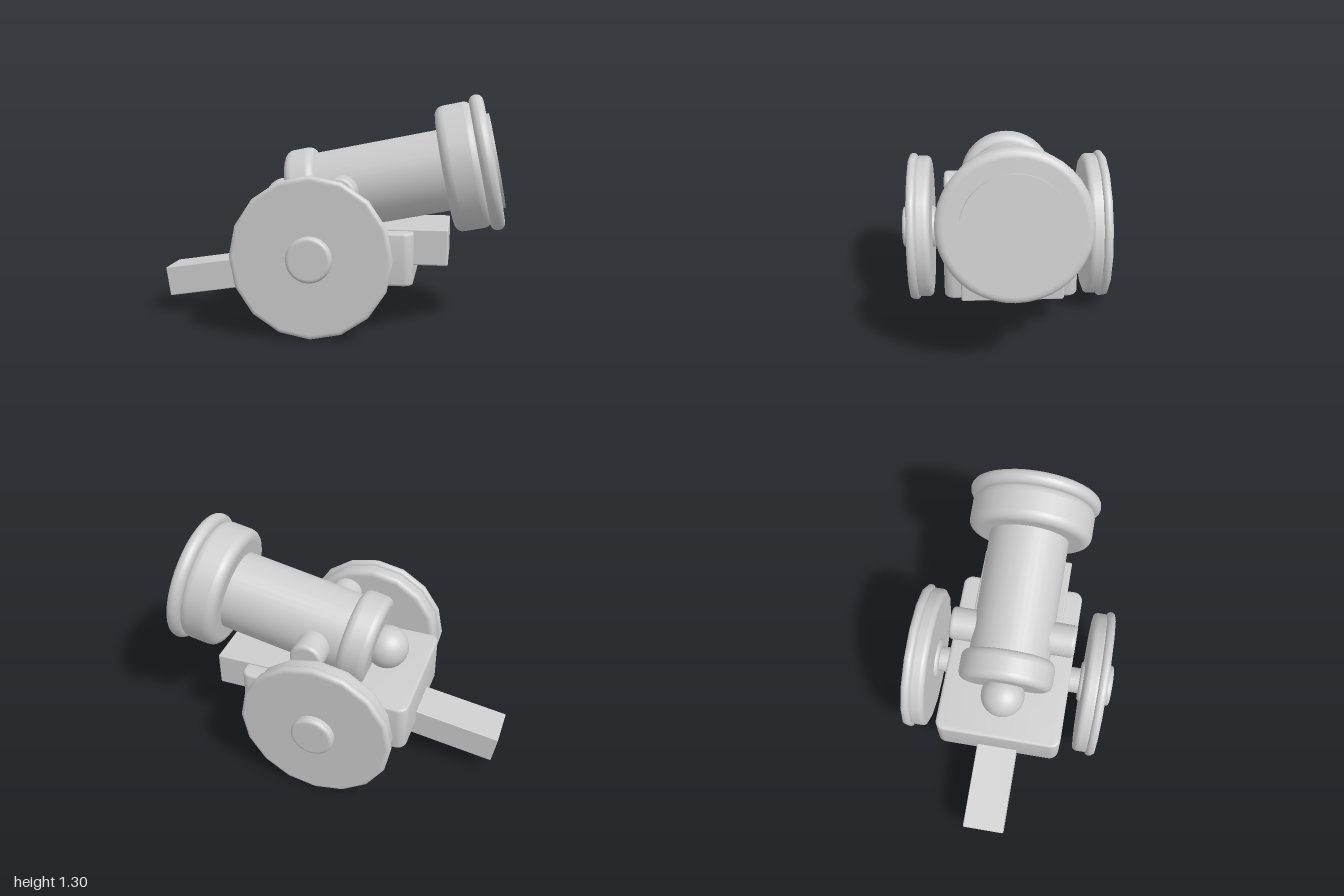
import * as THREE from 'three';
import { toCreasedNormals } from 'three/addons/utils/BufferGeometryUtils.js';
import { RoundedBoxGeometry } from 'three/addons/geometries/RoundedBoxGeometry.js';

const grey = new THREE.MeshStandardMaterial({ color: 0xcccccc });
grey.name = 'light grey';

function part(name, geometry, parent) {
  const mesh = new THREE.Mesh(geometry, grey);
  mesh.name = name;
  parent.add(mesh);
  return mesh;
}

// Solid disc along +y from a to b with rounded rims; extra rings keep the flats flat
function disc(r, a, b, bevel, sides) {
  const pts = [[0, a], [r - bevel - 0.004, a]];
  const arc = (cy, from) => {
    for (let i = 0; i <= 5; i++) {
      const t = from + (i / 5) * Math.PI / 2;
      pts.push([r - bevel + bevel * Math.cos(t), cy + bevel * Math.sin(t)]);
    }
  };
  arc(a + bevel, -Math.PI / 2);
  pts.push([r, a + bevel + 0.002], [r, b - bevel - 0.002]);
  arc(b - bevel, 0);
  pts.push([r - bevel - 0.004, b], [0, b]);
  return new THREE.LatheGeometry(pts.map(p => new THREE.Vector2(...p)), sides);
}

// Block with corners rounded in plan and softened top and bottom edges
function carriageBlock(w, h, d, corner, bevel) {
  const x = w / 2 - bevel, y = d / 2 - bevel, c = corner - bevel;
  const s = new THREE.Shape();
  s.absarc(x - c, y - c, c, 0, Math.PI / 2);
  s.absarc(-x + c, y - c, c, Math.PI / 2, Math.PI);
  s.absarc(-x + c, -y + c, c, Math.PI, Math.PI * 1.5);
  s.absarc(x - c, -y + c, c, Math.PI * 1.5, Math.PI * 2);
  s.closePath();
  const g = new THREE.ExtrudeGeometry(s, {
    depth: h - 2 * bevel, bevelSize: bevel, bevelThickness: bevel, bevelSegments: 4, curveSegments: 8,
  });
  g.translate(0, 0, bevel - h / 2).rotateX(-Math.PI / 2);
  return toCreasedNormals(g, 0.45);
}

export function createModel() {
  const model = new THREE.Group();
  model.name = 'cannon';

  // Carriage
  part('carriageBody', carriageBlock(1.0, 0.292, 0.74, 0.055, 0.015), model).position.set(-0.007, 0.408, 0);
  part('frontBlock', new RoundedBoxGeometry(0.41, 0.204, 0.546, 2, 0.01), model).position.set(0.475, 0.465, 0);
  const tail = part('tailBeam', new RoundedBoxGeometry(1.2, 0.174, 0.24, 2, 0.006), model);
  tail.rotation.z = 0.155;
  tail.position.set(-0.985 + 0.6 * Math.cos(0.155), 0.184 + 0.6 * Math.sin(0.155), 0);

  // Axle and wheels, mirrored by turning half round
  const axle = part('axle', new THREE.CylinderGeometry(0.077, 0.077, 0.94, 24), model);
  axle.rotation.x = Math.PI / 2;
  axle.position.set(-0.04, 0.445, 0);
  for (const side of [1, -1]) {
    const wheel = new THREE.Group();
    wheel.name = side > 0 ? 'frontWheel' : 'backWheel';
    wheel.position.set(-0.04, 0.442, 0);
    wheel.rotation.x = side * Math.PI / 2;
    part('wheelDisc', disc(0.425, 0.448, 0.55, 0.03, 16), wheel);
    part('wheelRim', disc(0.442, 0.528, 0.58, 0.023, 16), wheel);
    part('hub', disc(0.124, 0.427, 0.625, 0.02, 24), wheel);
    model.add(wheel);
  }

  // Barrel, built along +y with the muzzle face at 0, then tilted
  const barrel = new THREE.Group();
  barrel.name = 'barrel';
  barrel.position.set(0.943, 0.928, 0);
  barrel.rotation.z = -Math.PI / 2 + 0.197;
  part('tube', disc(0.235, -1.15, -0.2, 0.01, 40), barrel);
  part('breechRing', disc(0.275, -1.193, -1.015, 0.045, 40), barrel);
  part('muzzleRing', disc(0.365, -0.3, -0.085, 0.05, 40), barrel);
  part('muzzleLip', disc(0.391, -0.1, -0.018, 0.039, 40), barrel);
  part('muzzlePlate', new THREE.CylinderGeometry(0.273, 0.273, 0.03, 40), barrel).position.y = -0.015;
  part('breechKnob', new THREE.SphereGeometry(0.127, 28, 18), barrel).position.y = -1.247;
  model.add(barrel);

  // Trunnion pin through the barrel
  const pin = part('trunnions', disc(0.096, -0.367, 0.367, 0.02, 28), model);
  pin.rotation.x = Math.PI / 2;
  pin.position.set(0.085, 0.757, 0);

  return model;
}
